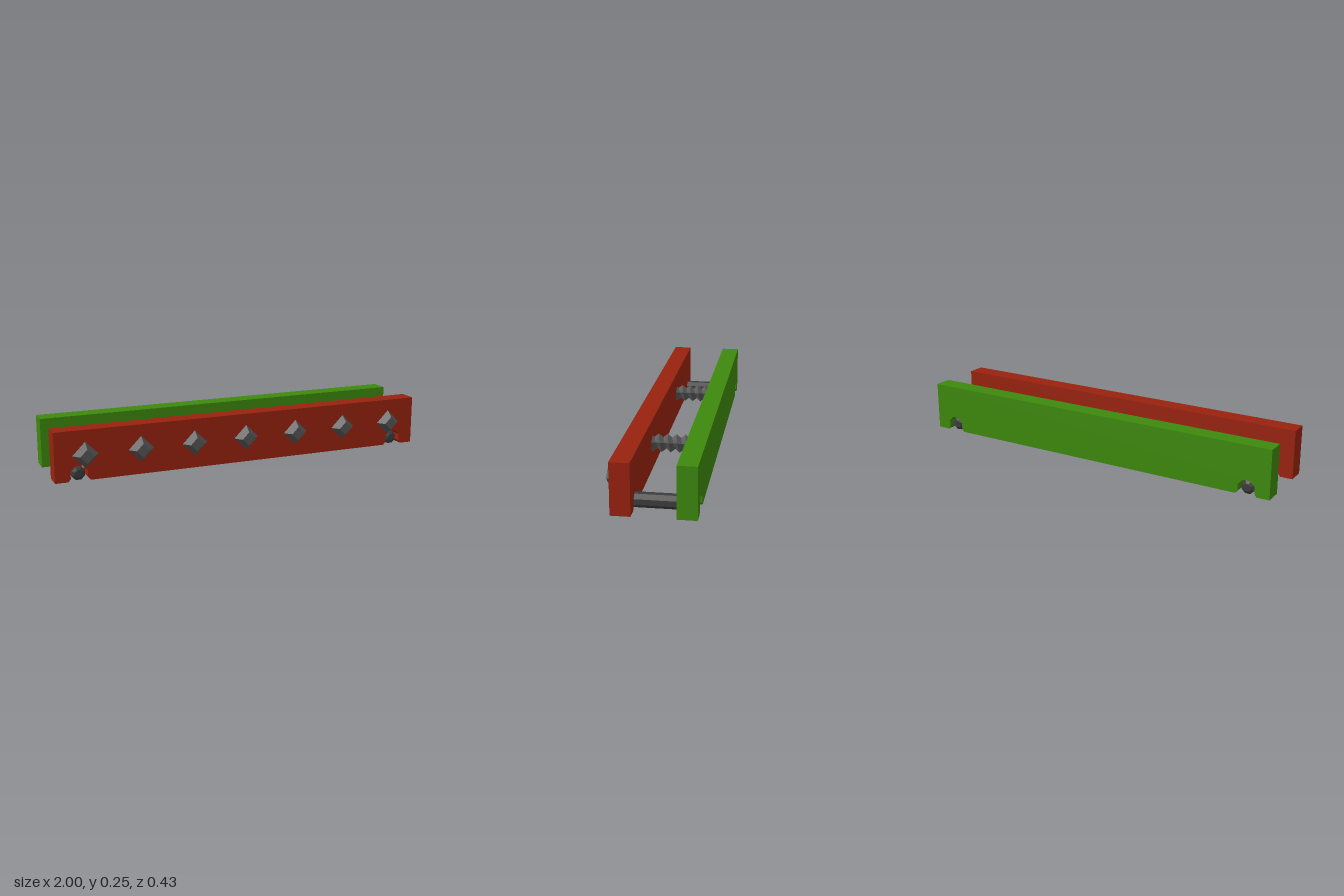
import * as THREE from 'three';

const mat = (name, color) => {
  const m = new THREE.MeshStandardMaterial({ color });
  m.name = name;
  return m;
};

export function createModel() {
  const red = mat('red', 0x98220f);
  const green = mat('green', 0x3d890d);
  const steel = mat('steel grey', 0x555555);
  const dark = mat('dark grey', 0x3c3c3c);
  const root = new THREE.Group();
  root.name = 'twinBarClamp';

  const add = (name, geo, material, x = 0, y = 0, z = 0) => {
    // facets are baked into the geometry as flat normals
    const flat = geo.index ? geo.toNonIndexed() : geo;
    flat.computeVertexNormals();
    const mesh = new THREE.Mesh(flat, material);
    mesh.name = name;
    mesh.position.set(x, y, z);
    root.add(mesh);
    return mesh;
  };

  // long bars with a faceted arch notch near each end
  const pinX = 0.88, barH = 0.253, barD = 0.094;
  const arch = [[-0.055, 0], [-0.043, 0.015], [-0.043, 0.051], [-0.018, 0.076],
    [0.018, 0.076], [0.043, 0.051], [0.043, 0.015], [0.055, 0]];
  const profile = new THREE.Shape();
  profile.moveTo(-1, 0);
  for (const cx of [-pinX, pinX]) arch.forEach(([x, y]) => profile.lineTo(cx + x, y));
  profile.lineTo(1, 0);
  profile.lineTo(1, barH);
  profile.lineTo(-1, barH);
  profile.closePath();
  const bar = () => new THREE.ExtrudeGeometry(profile, { depth: barD, bevelEnabled: false });
  add('frontBar', bar(), red, 0, 0, 0.084);
  add('backBar', bar(), green, 0, 0, -0.214);

  // diamond studs along the front
  for (let i = -3; i <= 3; i++) {
    const stud = new THREE.CylinderGeometry(0.0355, 0.066, 0.038, 4).rotateX(Math.PI / 2);
    add('stud', stud, steel, i * 0.282, 0.128, 0.197);
  }

  // octagonal pins with bevelled ends, resting in the notches
  const R = 0.033 / Math.cos(Math.PI / 8);
  const pinProfile = [[0, -0.2], [0.02, -0.2], [R, -0.19], [R, 0.155], [0.02, 0.165], [0, 0.165]]
    .map(([r, h]) => new THREE.Vector2(r, h));
  for (const x of [-pinX, pinX]) {
    const pin = new THREE.LatheGeometry(pinProfile, 8, Math.PI / 8).rotateX(Math.PI / 2);
    add('pin', pin, dark, x, 0.033, 0);
  }

  // five-sided screw: each edge zigzags, shifted along the axis to form a helix
  const screwGeometry = () => {
    const sides = 5, pitch = 0.044, rows = 13, pos = [], idx = [];
    for (let k = 0; k < rows; k++) {
      for (let j = 0; j <= sides; j++) {
        const a = Math.PI / 2 + (j / sides) * Math.PI * 2;
        const r = k % 2 ? 0.029 : 0.0475;
        const z = -0.168 + k * pitch / 2 + (j / sides) * pitch;
        pos.push(r * Math.cos(a), r * Math.sin(a), z);
      }
    }
    const w = sides + 1;
    for (let k = 0; k < rows - 1; k++) {
      for (let j = 0; j < sides; j++) {
        const p = k * w + j;
        idx.push(p, p + 1, p + w, p + 1, p + w + 1, p + w);
      }
    }
    const g = new THREE.BufferGeometry();
    g.setAttribute('position', new THREE.Float32BufferAttribute(pos, 3));
    g.setIndex(idx);
    return g;
  };
  for (const x of [-0.415, 0.415]) add('screw', screwGeometry(), steel, x, 0.1365, 0);

  return root;
}
